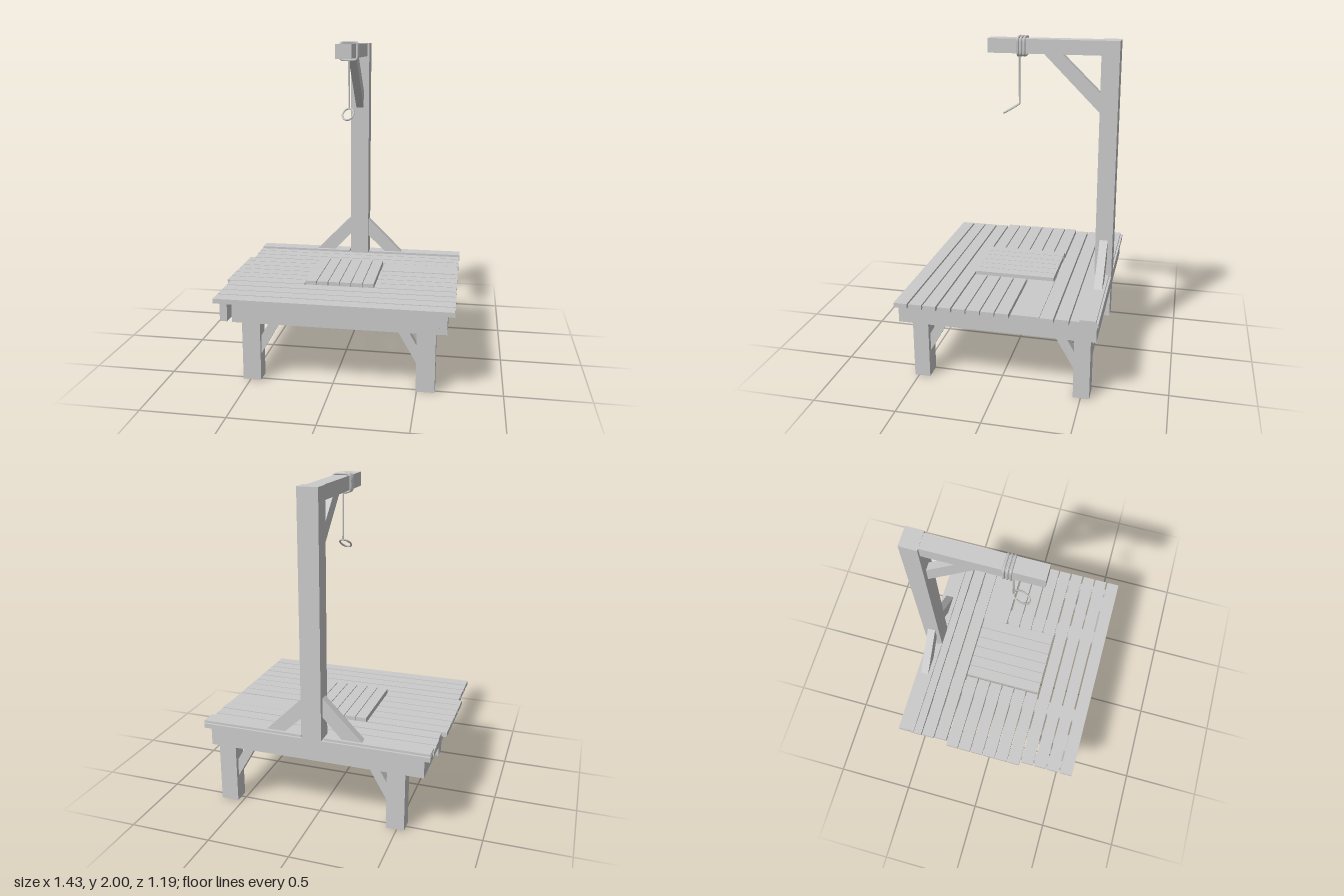
import * as THREE from 'three';

const wood = new THREE.MeshStandardMaterial({ color: 0xcccccc, flatShading: true });
const ropeMat = new THREE.MeshStandardMaterial({ color: 0xcccccc });

export function createModel() {
  const root = new THREE.Group();

  const add = (name, geo, mat = wood) => {
    const mesh = new THREE.Mesh(geo, mat);
    mesh.name = name;
    root.add(mesh);
    return mesh;
  };

  // Box given by its extents along each axis
  const box = (name, x0, x1, y0, y1, z0, z1) => {
    const geo = new THREE.BoxGeometry(x1 - x0, y1 - y0, z1 - z0);
    geo.translate((x0 + x1) / 2, (y0 + y1) / 2, (z0 + z1) / 2);
    return add(name, geo);
  };

  // Diagonal brace: outline extruded in the xy plane, or in zy when alongZ is set
  const brace = (name, pts, thick, centre, alongZ = false) => {
    const shape = new THREE.Shape(pts.map(([a, b]) => new THREE.Vector2(a, b)));
    const geo = new THREE.ExtrudeGeometry(shape, { depth: thick, bevelEnabled: false });
    geo.translate(0, 0, -thick / 2);
    if (alongZ) geo.rotateY(-Math.PI / 2);
    geo.translate(alongZ ? centre : 0, 0, alongZ ? 0 : centre);
    add(name, geo);
  };

  // Full-width deck planks: [x0, x1, z0, z1]
  const y0 = 0.498, y1 = 0.527;
  [
    [-0.695, 0.71, -0.598, -0.525], [-0.698, 0.71, -0.518, -0.44],
    [-0.695, 0.71, -0.433, -0.354], [-0.69, 0.715, -0.345, -0.267],
    [-0.697, 0.712, 0.254, 0.332], [-0.697, 0.712, 0.342, 0.42],
    [-0.697, 0.712, 0.428, 0.506], [-0.697, 0.712, 0.516, 0.597],
  ].forEach(([a, b, c, d]) => box('deckPlank', a, b, y0, y1, c, d));

  // Short planks on both sides of the hatch
  for (let i = 0; i < 6; i++) {
    const z = -0.257 + i * 0.0847;
    box('rightShortPlank', -0.72, -0.225, y0, y1, z, z + 0.078);
    if (i > 1) box('leftShortPlank', 0.215, 0.71, y0, y1, z, z + 0.078);
  }
  box('leftWidePlank', 0.215, 0.708, y0, y1, -0.265, -0.1);

  // Raised hatch
  for (let i = 0; i < 6; i++) {
    const x = -0.217 + i * 0.0714;
    box('hatchPlank', x, x + 0.067, 0.512, 0.547, -0.257, 0.242);
  }

  // Raised boards at the back, either side of the post
  box('backBoard', -0.693, -0.06, 0.5, 0.541, -0.585, -0.492);
  box('backBoard', 0.08, 0.715, 0.5, 0.541, -0.585, -0.492);

  // Rails and joists below the deck
  box('rightRail', -0.66, -0.615, 0.387, 0.498, -0.585, 0.585);
  box('leftRail', 0.627, 0.67, 0.387, 0.498, -0.585, 0.585);
  box('frontRail', -0.585, 0.627, 0.387, 0.498, 0.545, 0.59);
  box('backRail', -0.615, 0.627, 0.387, 0.498, -0.585, -0.54);
  for (const x of [-0.29, 0.29]) box('joist', x - 0.04, x + 0.04, 0.455, 0.498, -0.54, 0.545);

  // Legs, open underneath, each with two knee braces
  const knee = (edge, dir) => [
    [edge - dir * 0.01, 0.145], [edge + dir * 0.192, 0.498],
    [edge + dir * 0.128, 0.498], [edge - dir * 0.01, 0.257],
  ];
  for (const [cx, cz] of [[-0.49, 0.477], [0.55, 0.477], [-0.49, -0.503], [0.585, -0.503]]) {
    const sx = -Math.sign(cx), sz = -Math.sign(cz);
    const leg = box('leg', cx - 0.055, cx + 0.055, 0, 0.498, cz - 0.048, cz + 0.048);
    const idx = Array.from(leg.geometry.index.array);
    idx.splice(18, 6);
    leg.geometry.setIndex(idx);
    leg.geometry.clearGroups();
    brace('legBraceAcross', knee(cx + sx * 0.055, sx), 0.046, cz);
    brace('legBraceAlong', knee(cz + sz * 0.048, sz), 0.046, cx, true);
  }

  // Post, arm and their braces
  box('post', -0.05, 0.073, 0.5, 1.985, -0.598, -0.492);
  box('arm', -0.036, 0.06, 1.898, 1.983, -0.5, 0.188);
  brace('armBrace', [[-0.146, 1.9], [-0.257, 1.9], [-0.495, 1.67], [-0.495, 1.552]], 0.05, 0.012, true);
  brace('postBraceRight', [[-0.045, 0.79], [-0.045, 0.67], [-0.175, 0.53], [-0.3, 0.53]], 0.05, -0.543);
  brace('postBraceLeft', [[0.068, 0.775], [0.068, 0.655], [0.2, 0.53], [0.315, 0.53]], 0.05, -0.543);

  // Rope wound round the arm
  const V = (x, y, z) => new THREE.Vector3(x, y, z);
  for (const z of [-0.036, -0.016, 0.003]) {
    const pts = [];
    for (let i = 0; i < 32; i++) {
      const a = (i / 32) * Math.PI * 2, c = Math.cos(a), s = Math.sin(a);
      const round = (v) => Math.sign(v) * Math.pow(Math.abs(v), 0.35);
      pts.push(V(0.013 + 0.054 * round(c), 1.939 + 0.053 * round(s), z));
    }
    add('ropeWrap', new THREE.TubeGeometry(new THREE.CatmullRomCurve3(pts, true), 64, 0.008, 6, true), ropeMat);
  }

  // Hanging rope and its tilted loop
  const hang = new THREE.CatmullRomCurve3([V(0.017, 1.89, 0.004), V(0.017, 1.74, 0.003), V(0.017, 1.595, 0.001)]);
  add('hangingRope', new THREE.TubeGeometry(hang, 12, 0.006, 6), ropeMat);
  const loop = [];
  for (let i = 0; i < 16; i++) {
    const a = (i / 16) * Math.PI * 2, t = 0.5 - 0.5 * Math.cos(a);
    loop.push(V(0.018 + 0.033 * Math.sin(a), 1.592 - 0.06 * t, 0.002 + 0.097 * t));
  }
  add('ropeLoop', new THREE.TubeGeometry(new THREE.CatmullRomCurve3(loop, true), 32, 0.006, 6, true), ropeMat);

  return root;
}
